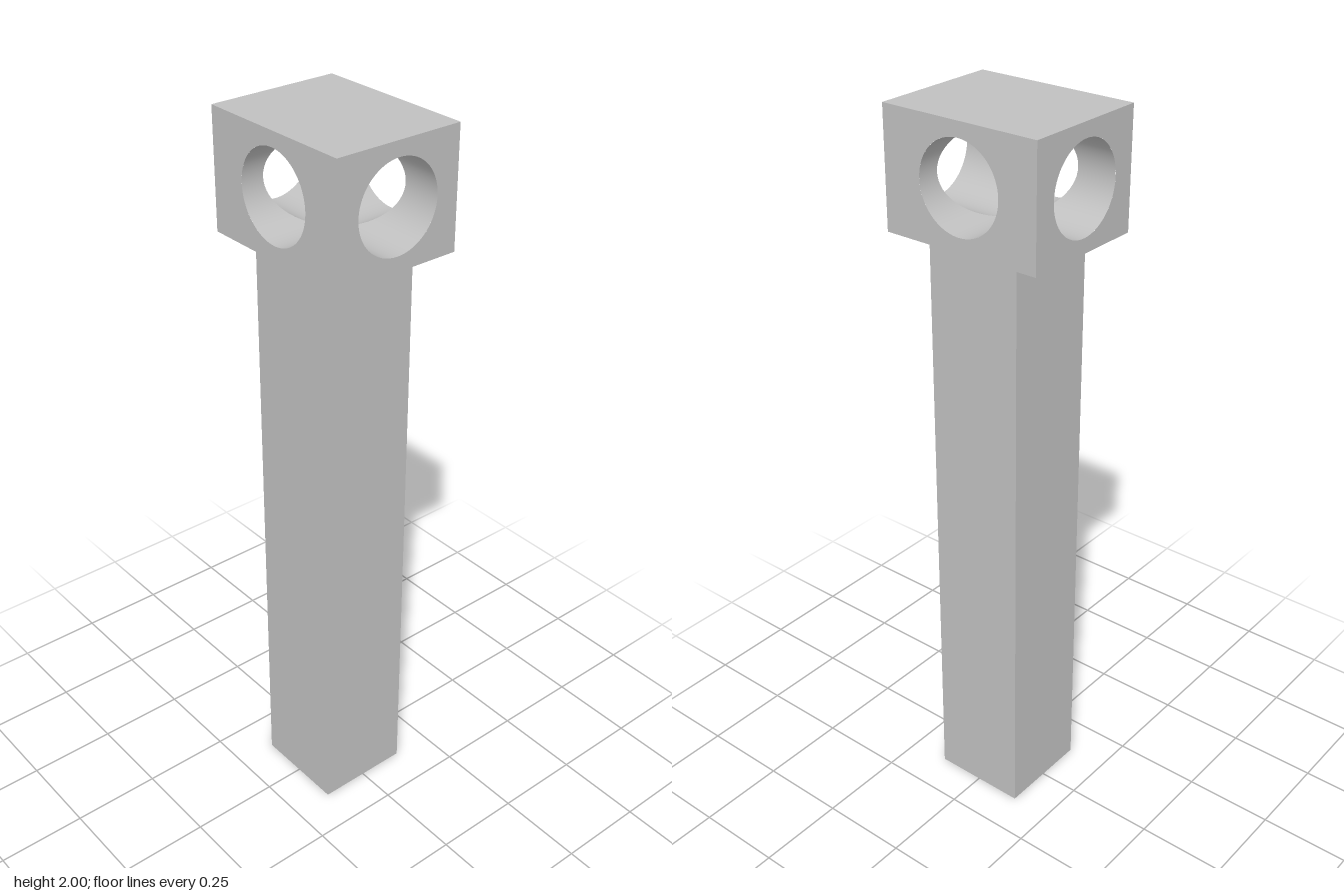
import * as THREE from 'three';

const W = 0.23, D = 0.183;          // head half width and half depth
const H = 0.16, CY = 1.84;          // head half height and centre height
const R = 0.12, SEG = 64;           // bore radius and sides
const POST = 0.136;                 // post half width

// Side of the head with a round opening, facing +z
function faceWithHole(halfWidth) {
  const s = new THREE.Shape();
  s.moveTo(-halfWidth, -H).lineTo(halfWidth, -H).lineTo(halfWidth, H).lineTo(-halfWidth, H).closePath();
  const hole = new THREE.Path();
  hole.absarc(0, 0, R, 0, Math.PI * 2, true);
  s.holes.push(hole);
  return new THREE.ShapeGeometry(s, SEG);
}

// Bore wall from the opening in to the curve where it meets the crossing bore
function boreWall(depth) {
  const g = new THREE.PlaneGeometry(1, 1, SEG, 1);
  const p = g.attributes.position, n = g.attributes.normal;
  for (let i = 0; i < p.count; i++) {
    const t = -(p.getX(i) + 0.5) * Math.PI * 2;
    const c = Math.cos(t), s = Math.sin(t);
    p.setXYZ(i, R * c, R * s, p.getY(i) > 0 ? depth : R * Math.abs(c));
    n.setXYZ(i, -c, -s, 0);
  }
  return g;
}

export function createModel() {
  const model = new THREE.Group();
  const grey = new THREE.MeshStandardMaterial({ color: 0xc0c0c0 });
  grey.name = 'light grey';

  const add = (parent, name, geometry) => {
    const mesh = new THREE.Mesh(geometry, grey);
    mesh.name = name;
    parent.add(mesh);
    return mesh;
  };

  // Square post
  const postHeight = CY - H;
  add(model, 'post', new THREE.BoxGeometry(POST * 2, postHeight, POST * 2)).position.y = postHeight / 2;

  // Block head with two crossing round bores
  const head = new THREE.Group();
  head.name = 'head';
  head.position.y = CY;
  model.add(head);

  ['front', 'left', 'back', 'right'].forEach((side, i) => {
    const [halfWidth, depth] = i % 2 ? [D, W] : [W, D];
    const group = new THREE.Group();
    group.name = side + 'Side';
    group.rotation.y = i * Math.PI / 2;
    head.add(group);
    add(group, side + 'Face', faceWithHole(halfWidth)).position.z = depth;
    add(group, side + 'Bore', boreWall(depth));
  });

  // Top and underside of the head
  for (const [name, s] of [['headTop', 1], ['headUnderside', -1]]) {
    const cap = add(head, name, new THREE.PlaneGeometry(W * 2, D * 2));
    cap.rotation.x = -s * Math.PI / 2;
    cap.position.y = s * H;
  }
  return model;
}
